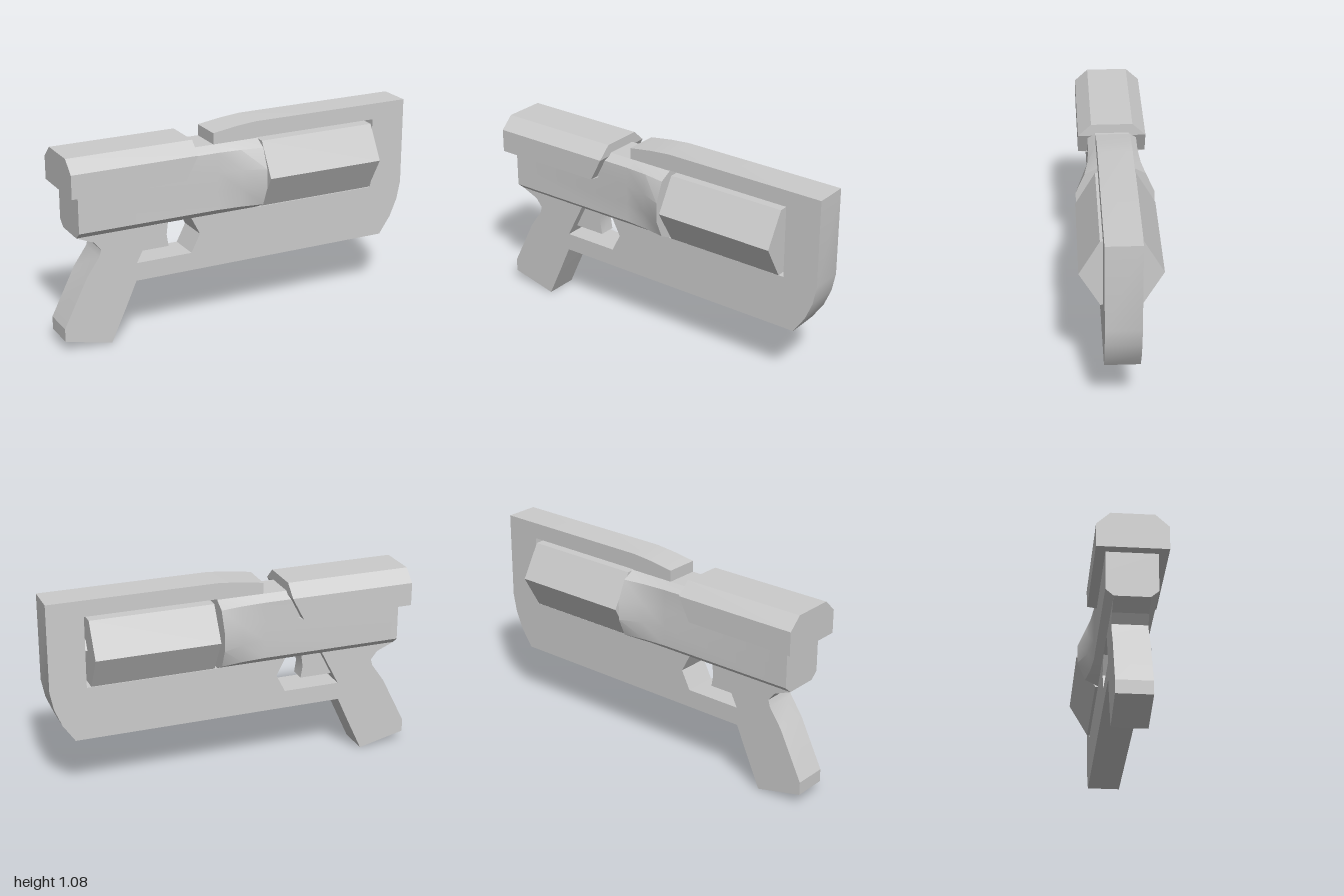
import * as THREE from 'three';
import { mergeVertices, toCreasedNormals } from 'three/addons/utils/BufferGeometryUtils.js';

const grey = new THREE.MeshStandardMaterial({ color: 0xcccccc });

function part(name, geometry, parent, crease = 0.45) {
  const mesh = new THREE.Mesh(toCreasedNormals(geometry, crease), grey);
  mesh.name = name;
  parent.add(mesh);
  return mesh;
}

const points = (list) => list.map(([x, y]) => new THREE.Vector2(x, y));

// Side outline extruded evenly about z = 0
function plate(outline, holes, depth) {
  const shape = new THREE.Shape(points(outline));
  for (const hole of holes) shape.holes.push(new THREE.Path(points(hole)));
  const geometry = new THREE.ExtrudeGeometry(shape, { depth, bevelEnabled: false });
  return geometry.translate(0, 0, -depth / 2);
}

// Solid through mirrored cross-sections; each is one half as [x, y, z], top to bottom
function loft(halves) {
  const rings = halves.map((half) => [
    ...half,
    ...half.slice().reverse().map(([x, y, z]) => [x, y, -z]),
  ]);
  const n = rings[0].length;
  const position = rings.flat(2);
  const index = [];
  for (let r = 0; r < rings.length - 1; r++) {
    for (let i = 0; i < n; i++) {
      const a = r * n + i;
      const b = r * n + ((i + 1) % n);
      index.push(a, b, b + n, a, b + n, a + n);
    }
  }
  // End caps as strips between mirrored corners
  const end = (rings.length - 1) * n;
  for (let i = 0; i < n / 2 - 1; i++) {
    const [a, b, c, d] = [i, i + 1, n - 2 - i, n - 1 - i];
    index.push(a, c, b, a, d, c);
    index.push(end + a, end + b, end + c, end + a, end + c, end + d);
  }
  const geometry = new THREE.BufferGeometry();
  geometry.setAttribute('position', new THREE.Float32BufferAttribute(position, 3));
  geometry.setIndex(index);
  return mergeVertices(geometry);
}

// Six-sided bar along x, with corners pointing to +z and -z
function hexBar(radius, x0, x1) {
  return new THREE.CylinderGeometry(radius, radius, x1 - x0, 6)
    .rotateZ(-Math.PI / 2)
    .translate((x0 + x1) / 2, 0.795, 0);
}

export function createModel() {
  const model = new THREE.Group();
  model.name = 'blockyPistol';

  // Frame with grip, top strap, drum window and trigger opening
  part('frame', plate(
    [
      [-0.91, 0.62], [-0.92, 0.61], [-0.825, 0.57], [-0.79, 0.525], [-0.8, 0.49],
      [-0.87, 0.39], [-1, 0.13], [-1, 0.06], [-0.745, 0], [-0.66, 0.185],
      [-0.6, 0.32], [0.875, 0.32], [0.94, 0.415], [0.98, 0.51], [1, 0.61],
      [1, 1.08], [0.09, 1.08], [-0.02, 1.07], [-0.155, 1.05], [-0.155, 0.98],
      [-0.91, 0.98],
    ],
    [
      [[0.095, 0.607], [0.095, 0.993], [0.805, 0.993], [0.805, 0.607]],
      [[-0.495, 0.612], [-0.285, 0.612], [-0.235, 0.515], [-0.285, 0.417], [-0.595, 0.417]],
    ],
    0.18), model);

  // Trigger
  part('trigger', plate(
    [[-0.52, 0.59], [-0.397, 0.59], [-0.405, 0.525], [-0.395, 0.46], [-0.59, 0.46]],
    [], 0.09), model);

  // Body, flaring out towards the drum
  const rear = [[0.99, 0.09], [0.955, 0.13], [0.85, 0.13], [0.745, 0.13], [0.645, 0.13], [0.61, 0.09]];
  const front = [[0.99, 0.09], [0.955, 0.157], [0.85, 0.203], [0.745, 0.203], [0.645, 0.16], [0.61, 0.09]];
  const stations = [[-0.92, 0], [-0.15, 0], [-0.02, 0.33], [0.1, 1]];
  part('body', loft(stations.map(([x, t]) =>
    rear.map(([y, z], i) => [x, y, THREE.MathUtils.lerp(z, front[i][1], t)]))), model);

  // Bevelled cover over the rear, its front corners swept back
  const cover = [[1.04, 0.11], [0.975, 0.18], [0.85, 0.18], [0.85, 0.12]];
  const frontX = [-0.285, -0.285, -0.35, -0.335];
  part('rearCover', loft([
    cover.map(([y, z]) => [-0.97, y, z]),
    cover.map(([y, z], i) => [frontX[i], y, z]),
  ]), model);

  // Six-sided drum on its axle
  part('drum', hexBar(0.207, 0.12, 0.785), model);
  part('axle', hexBar(0.057, 0.09, 0.81), model);

  return model;
}
